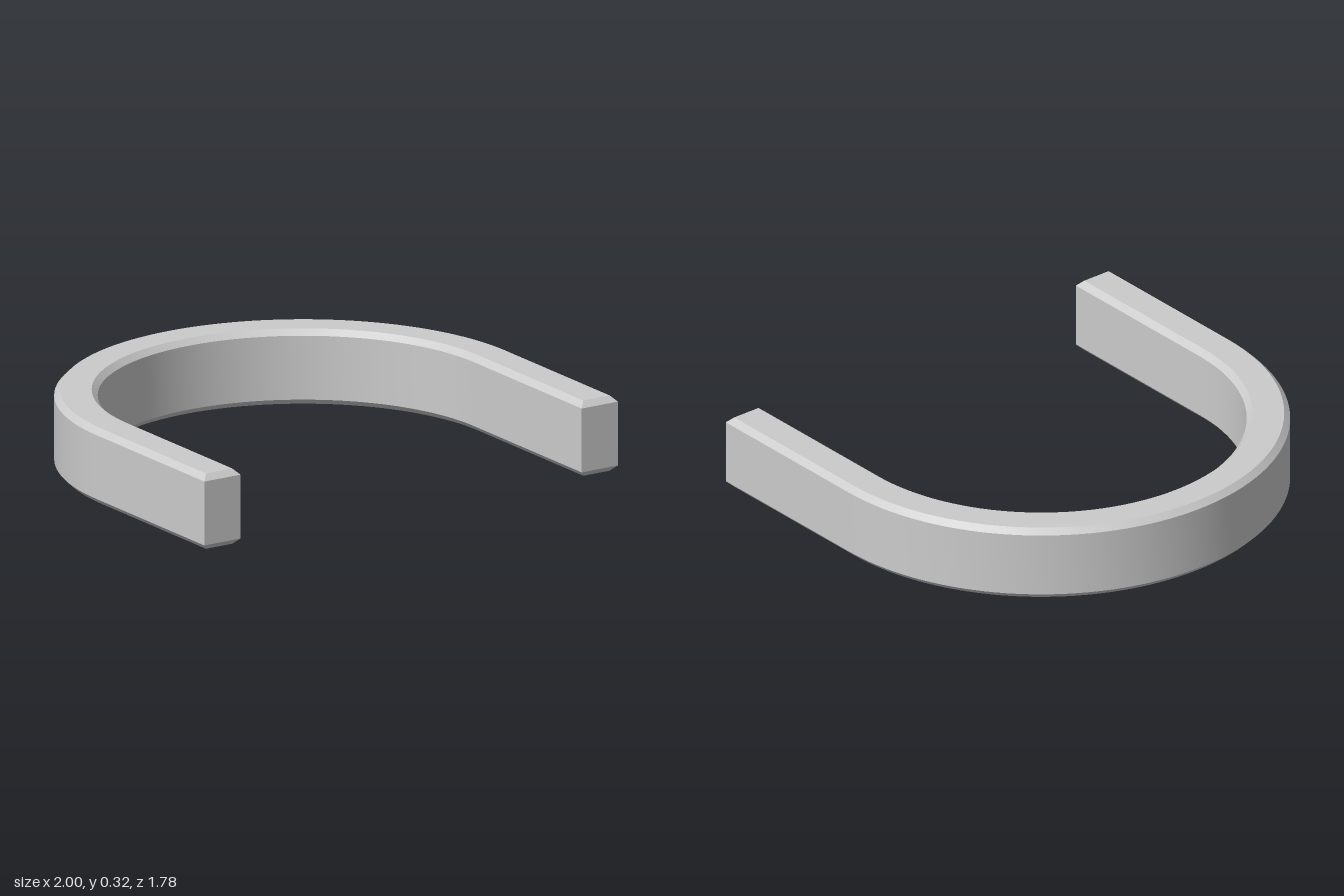
import * as THREE from 'three';
import { toCreasedNormals } from 'three/addons/utils/BufferGeometryUtils.js';

const OUTER = 1, INNER = 0.825;      // arc radii
const ARC_Z = 0.11, END_Z = 0.89;    // arc centre and leg ends
const HEIGHT = 0.316, BEVEL = 0.024;

export function createModel() {
  const group = new THREE.Group();
  group.name = 'horseshoeArch';

  // U outline in plan: straight legs joined by a half ring
  const outline = new THREE.Shape();
  outline.moveTo(OUTER, -END_Z);
  outline.lineTo(OUTER, -ARC_Z);
  outline.absarc(0, -ARC_Z, OUTER, 0, Math.PI, false);
  outline.lineTo(-OUTER, -END_Z);
  outline.lineTo(-INNER, -END_Z);
  outline.lineTo(-INNER, -ARC_Z);
  outline.absarc(0, -ARC_Z, INNER, Math.PI, 0, true);
  outline.lineTo(INNER, -END_Z);
  outline.closePath();

  // Extruded upward with a chamfer along the top and bottom edges
  const geometry = new THREE.ExtrudeGeometry(outline, {
    depth: HEIGHT - 2 * BEVEL,
    curveSegments: 32,
    bevelEnabled: true,
    bevelSegments: 1,
    bevelThickness: BEVEL,
    bevelSize: BEVEL,
    bevelOffset: -BEVEL,
  });
  geometry.translate(0, 0, BEVEL);
  geometry.rotateX(-Math.PI / 2);

  const band = new THREE.Mesh(
    toCreasedNormals(geometry, 0.5),
    new THREE.MeshStandardMaterial({ color: 0xcccccc })
  );
  band.name = 'curvedBand';
  group.add(band);
  return group;
}
